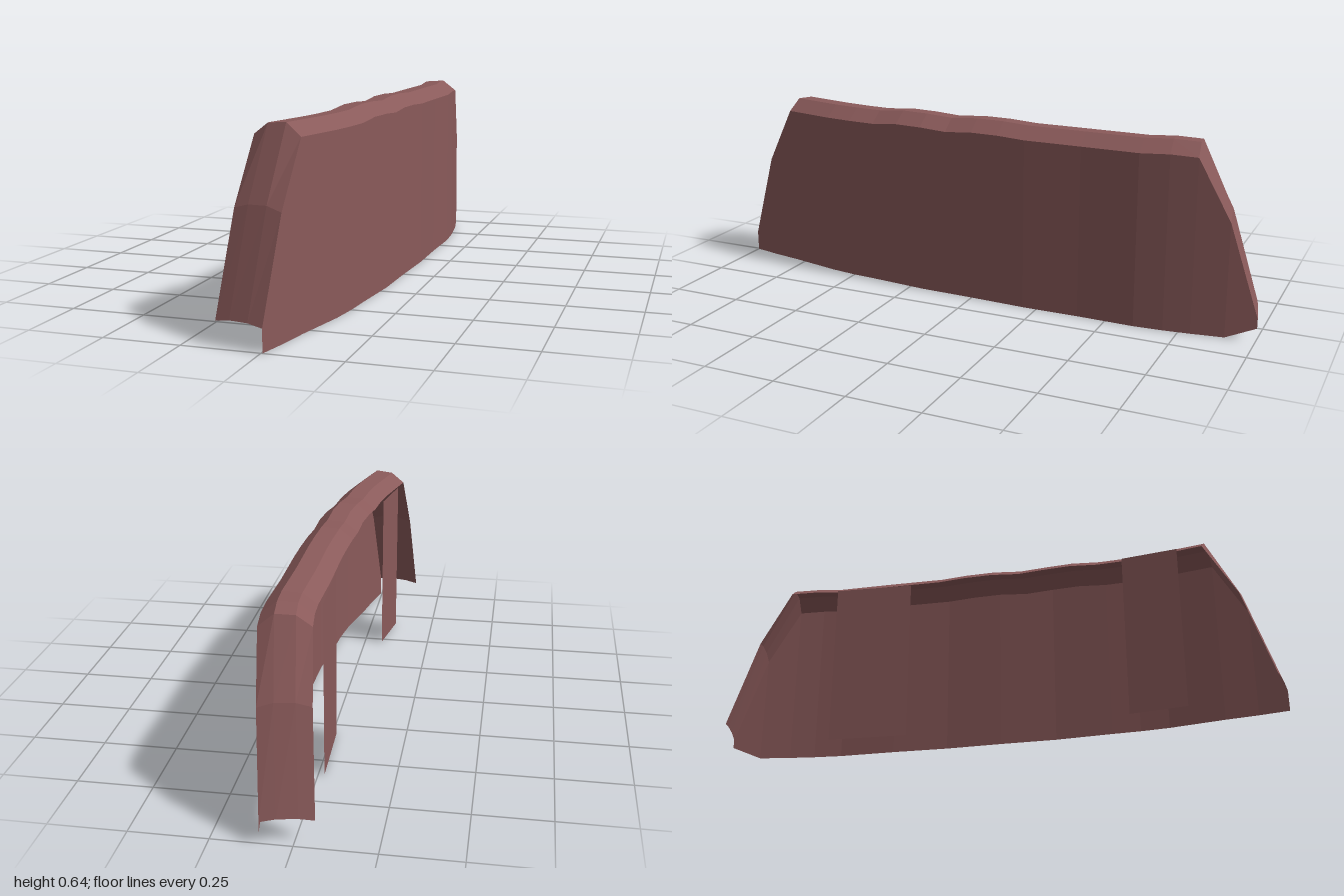
import * as THREE from 'three';

const clay = new THREE.MeshStandardMaterial({ color: 0x8a5a5a, flatShading: true, side: THREE.DoubleSide });
clay.name = 'dusty red';

// stations along the barrier: z, x of outer edge, height of outer edge, rise of ridge, height of lower edge
const stations = [
  [1.0, 0.005, 0.072, 0.008, 0], [0.9, 0.028, 0.385, 0.015, 0], [0.79, 0.048, 0.588, 0.04, 0],
  [0.6, 0.09, 0.588, 0.04, 0], [0.5, 0.104, 0.588, 0.04, 0], [0.4, 0.112, 0.588, 0.04, 0],
  [0.3, 0.122, 0.598, 0.04, 0], [0.2, 0.132, 0.598, 0.04, 0], [0.1, 0.135, 0.592, 0.04, 0],
  [0.0, 0.138, 0.6, 0.04, 0], [-0.1, 0.143, 0.6, 0.04, 0], [-0.2, 0.148, 0.595, 0.04, 0],
  [-0.4, 0.148, 0.594, 0.04, 0], [-0.6, 0.153, 0.594, 0.04, 0], [-0.7, 0.147, 0.599, 0.04, 0],
  [-0.79, 0.137, 0.595, 0.04, 0], [-0.9, 0.121, 0.39, 0.015, 0], [-1.0, 0.1, 0.072, 0.008, 0.04],
];
const WIDTH = 0.16;

// skin equal-length cross-sections into a surface
function loft(name, sections) {
  const n = sections[0].length, index = [];
  for (let i = 0; i < sections.length - 1; i++) {
    for (let j = 0; j < n - 1; j++) {
      const a = i * n + j, b = a + n;
      index.push(a, b, a + 1, b, b + 1, a + 1);
    }
  }
  const g = new THREE.BufferGeometry();
  g.setAttribute('position', new THREE.Float32BufferAttribute(sections.flat(2), 3));
  g.setIndex(index);
  g.computeVertexNormals();
  const mesh = new THREE.Mesh(g, clay);
  mesh.name = name;
  return mesh;
}

export function createModel() {
  const group = new THREE.Group();
  group.name = 'curvedBarrier';

  // tall outer wall
  group.add(loft('outerWall', stations.map(([z, x, y, , low]) => [[x, low, z], [x, y, z]])));

  // bevelled cap, running down over both sloping ends
  const cap = stations.map(([z, x, y, rise], i) => {
    const p = stations[Math.max(i - 1, 0)], q = stations[Math.min(i + 1, stations.length - 1)];
    const slope = (q[1] - p[1]) / (q[0] - p[0]);
    return [[0, 0], [0.31, 1], [0.7, 0.9], [1, 0]].map(([t, r]) =>
      [x - WIDTH * t, y + rise * r, z + WIDTH * t * slope]);
  });
  group.add(loft('cap', cap));

  // two upright support plates under the inner edge of the cap
  const supports = [
    ['frontSupport', [-0.101, 0.67], [-0.067, 0.475]],
    ['rearSupport', [-0.013, -0.31], [-0.02, -0.59]],
  ];
  for (const [name, a, b] of supports) {
    group.add(loft(name, [a, b].map(([x, z]) => [[x, 0, z], [x, 0.592, z]])));
  }
  return group;
}
